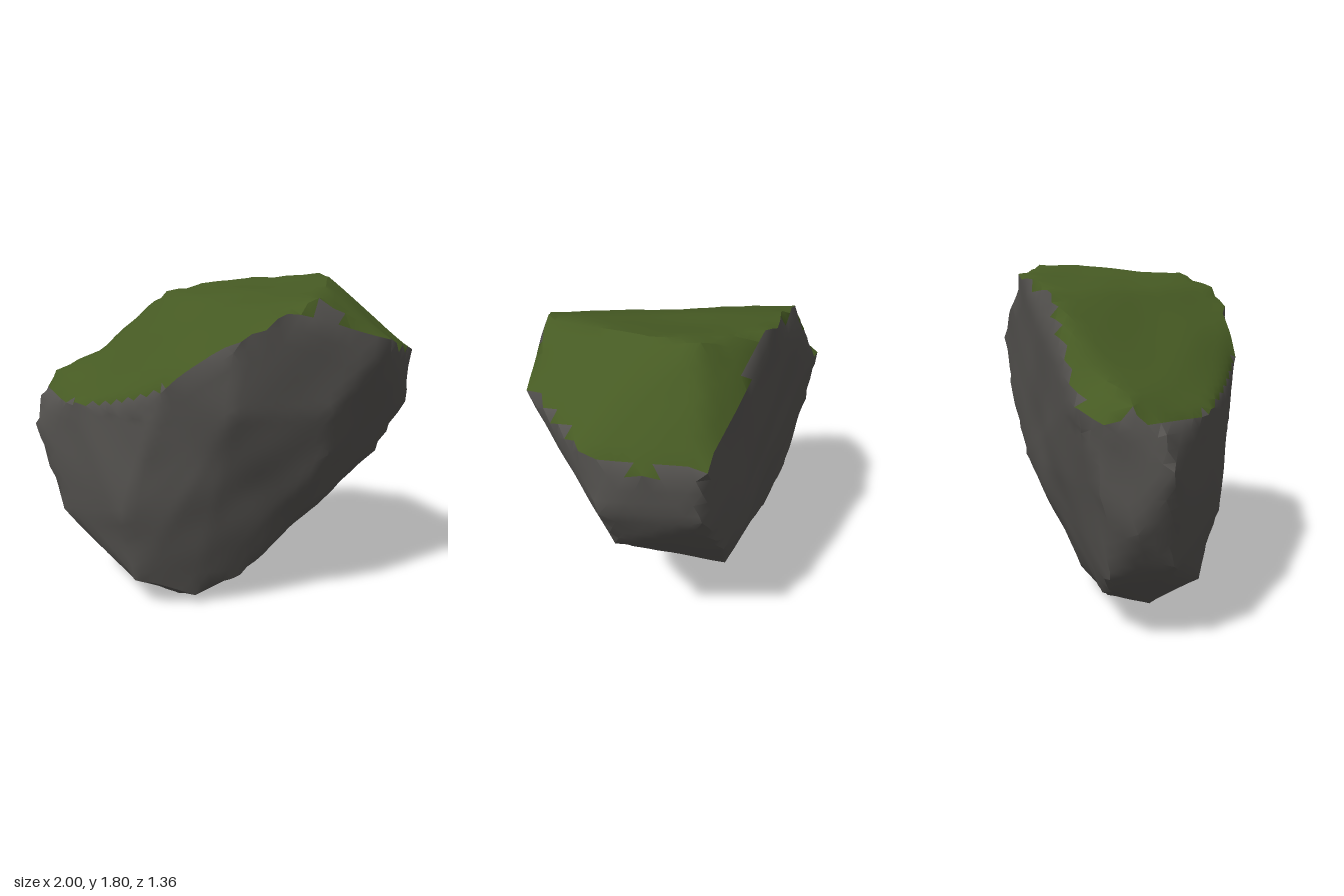
import * as THREE from 'three';
import { ConvexGeometry } from 'three/addons/geometries/ConvexGeometry.js';
import { mergeVertices, toCreasedNormals } from 'three/addons/utils/BufferGeometryUtils.js';

const points = (...list) => list.map((p) => new THREE.Vector3(...p));

// Key corners of the boulder, edge by edge
const leftEnd = points([-1, .97, -.4], [-.97, 1.13, -.42], [-.86, 1.25, -.52], [-.88, .47, -.3]);
const upperBack = points([-.82, 1.18, -.64], [-.67, 1.26, -.68], [-.2, 1.68, -.54], [0, 1.73, -.49], [.3, 1.76, -.47], [.93, 1.35, -.27]);
const lowerBack = points([-.89, .68, -.51], [-.78, .85, -.64], [-.69, .4, -.53], [-.46, .22, -.43], [-.3, .1, -.3], [.05, .15, -.25], [.6, .68, -.31], [.93, 1.08, -.25]);
const foot = points([-.14, 0, -.12], [-.26, 0, 0], [-.2, .06, .16], [-.6, .16, -.24], [-.53, .18, .13]);
const rightEnd = points([.98, 1.43, .28], [1, 1.35, 0], [.99, 1.12, .2], [.84, .84, .18], [.42, .49, .2]);
const front = points([-.6, .57, .2], [.05, .18, .2], [.2, .36, .26], [0, .6, .36], [.38, .6, .35], [.42, .95, .52], [.4, 1.2, .61], [-.1, 1.2, .58], [-.4, 1.34, .46], [-.2, 1.5, .56], [-.6, 1.2, .22], [-.8, 1.18, -.04]);
const crown = points([.6, 1.79, -.18], [.57, 1.79, .05], [.08, 1.67, .68], [.3, 1.74, .6], [.69, 1.54, .6], [-.08, 1.57, .65]);
const corners = [leftEnd, upperBack, lowerBack, foot, rightEnd, front, crown].flat();

const centre = new THREE.Vector3(0, .95, 0);

// Planes of the hull around the corners
function hullPlanes() {
  const pos = new ConvexGeometry(corners).attributes.position;
  const planes = [];
  for (let i = 0; i < pos.count; i += 3) {
    const [a, b, c] = [0, 1, 2].map((k) => new THREE.Vector3().fromBufferAttribute(pos, i + k));
    planes.push(new THREE.Plane().setFromCoplanarPoints(a, b, c));
  }
  return planes;
}

// Broad dents and bumps of weathered stone
const weather = (p) =>
  .009 * Math.sin(7 * p.x + 3 * p.y + 1) * Math.sin(6 * p.y - 4 * p.z) +
  .005 * Math.sin(13 * p.x - 5 * p.z) * Math.sin(11 * p.y + 9 * p.z + 2);

// Turn the closest sphere vertex towards each corner, so that no corner is cut off
function aimAtCorners(pos) {
  const v = new THREE.Vector3(), aim = new THREE.Vector3();
  for (const corner of corners) {
    aim.copy(corner).sub(centre).normalize();
    let best = 0, bestDot = -1;
    for (let i = 0; i < pos.count; i++) {
      const dot = v.fromBufferAttribute(pos, i).dot(aim);
      if (dot > bestDot) [best, bestDot] = [i, dot];
    }
    pos.setXYZ(best, aim.x, aim.y, aim.z);
  }
}

// A sphere pushed out to the hull, then weathered
function boulderGeometry() {
  const planes = hullPlanes();
  let geo = new THREE.IcosahedronGeometry(1, 17);
  geo.deleteAttribute('normal');
  geo.deleteAttribute('uv');
  geo = mergeVertices(geo, 1e-4);
  const pos = geo.attributes.position;
  aimAtCorners(pos);
  const dir = new THREE.Vector3(), p = new THREE.Vector3();
  for (let i = 0; i < pos.count; i++) {
    dir.fromBufferAttribute(pos, i).normalize();
    let r = Infinity;
    for (const pl of planes) {
      const d = pl.normal.dot(dir);
      if (d > 1e-4) r = Math.min(r, -pl.distanceToPoint(centre) / d);
    }
    p.copy(centre).addScaledVector(dir, r);
    p.addScaledVector(dir, weather(p));
    // shallow hollow in the sloping crown
    if (p.y > 1.15) p.y -= .045 * Math.exp(-(((p.x + .6) / .17) ** 2));
    pos.setXYZ(i, p.x, p.y, p.z);
  }
  // Stand it on the ground
  geo.computeBoundingBox();
  geo.translate(0, -geo.boundingBox.min.y, 0);
  return toCreasedNormals(geo, .6);
}

// Keep only the triangles that pass a test on their centre and normal
function pick(geo, test) {
  const { position, normal } = geo.attributes;
  const pts = [], nrm = [], tri = new THREE.Triangle();
  const mid = new THREE.Vector3(), n = new THREE.Vector3();
  for (let i = 0; i < position.count; i += 3) {
    tri.setFromAttributeAndIndices(position, i, i + 1, i + 2);
    if (!test(tri.getMidpoint(mid), tri.getNormal(n))) continue;
    for (let k = i; k < i + 3; k++) {
      pts.push(position.getX(k), position.getY(k), position.getZ(k));
      nrm.push(normal.getX(k), normal.getY(k), normal.getZ(k));
    }
  }
  const out = new THREE.BufferGeometry();
  out.setAttribute('position', new THREE.Float32BufferAttribute(pts, 3));
  out.setAttribute('normal', new THREE.Float32BufferAttribute(nrm, 3));
  return out;
}

export function createModel() {
  const group = new THREE.Group();
  group.name = 'mossyBoulder';
  const geo = boulderGeometry();
  // Moss grows on the high faces that look up
  const mossy = (c, n) => n.y > .42 && c.y > 1.16;

  const add = (name, color, test) => {
    const mesh = new THREE.Mesh(pick(geo, test), new THREE.MeshStandardMaterial({ color }));
    mesh.name = name;
    group.add(mesh);
  };
  add('stone', 0x54524f, (c, n) => !mossy(c, n));
  add('moss', 0x465a23, mossy);
  return group;
}
